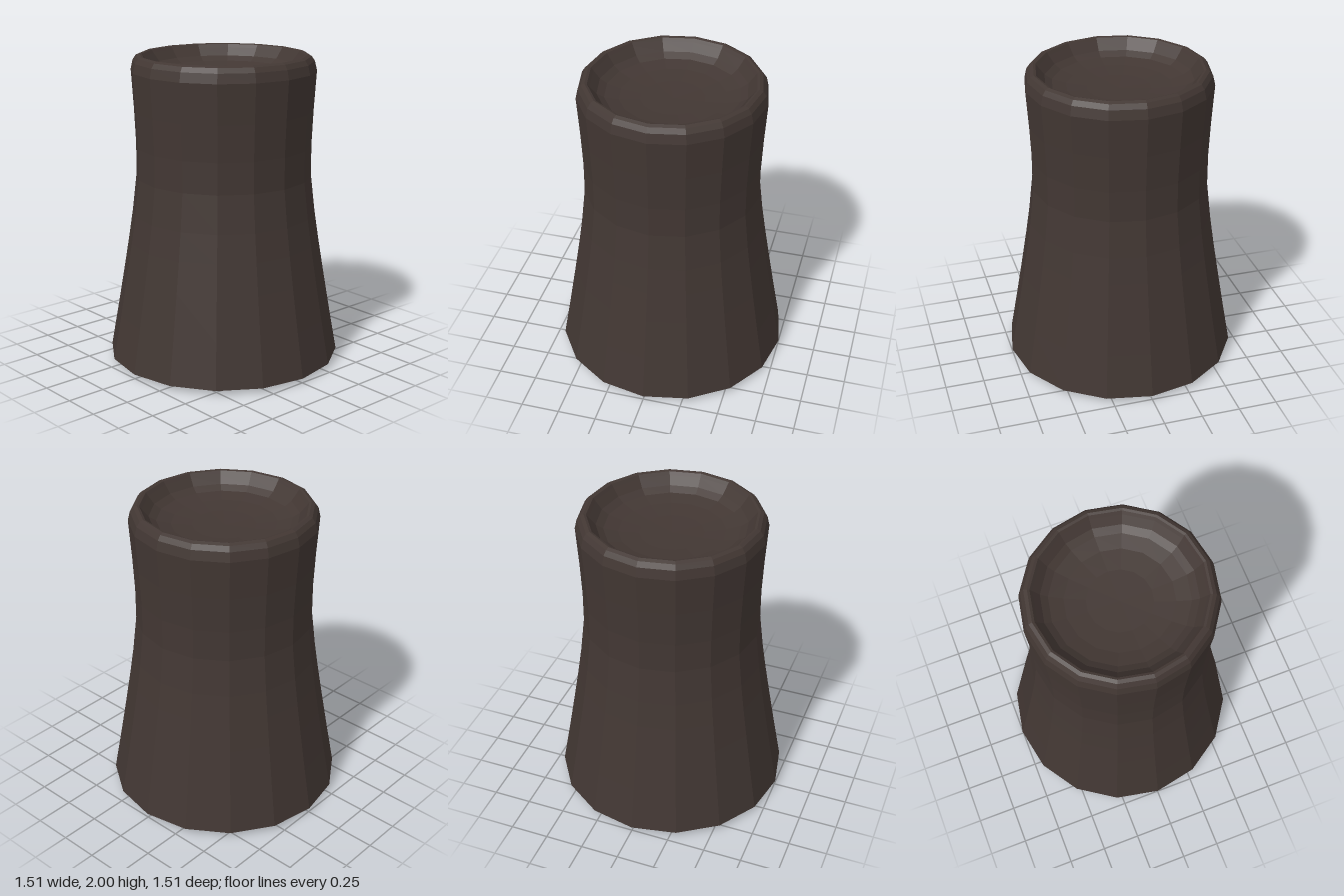
import * as THREE from 'three';

const SIDES = 16;
const material = new THREE.MeshStandardMaterial({ color: 0x423733, flatShading: true });

// Revolve a list of [radius, height] pairs, ordered so that faces point outwards.
function turned(name, profile) {
  const points = profile.map(([r, y]) => new THREE.Vector2(r, y));
  const mesh = new THREE.Mesh(new THREE.LatheGeometry(points, SIDES), material);
  mesh.name = name;
  return mesh;
}

export function createModel() {
  const group = new THREE.Group();
  group.name = 'flaredTower';

  // Slightly domed underside
  group.add(turned('base', [[0, 0], [0.45, 0.004], [0.7, 0.012], [0.755, 0.03]]));

  // Wide foot narrowing to a waist, then opening a little towards the top
  group.add(turned('wall', [
    [0.755, 0.03], [0.703, 0.32], [0.655, 0.6], [0.622, 0.8], [0.595, 0.98],
    [0.567, 1.22], [0.566, 1.42], [0.576, 1.65], [0.592, 1.9],
  ]));

  // Rounded lip
  group.add(turned('rim', [
    [0.592, 1.9], [0.578, 1.96], [0.557, 1.99], [0.535, 2], [0.52, 1.995], [0.505, 1.975],
  ]));

  // Shallow dish closing the top
  group.add(turned('topDish', [
    [0.505, 1.975], [0.465, 1.925], [0.42, 1.897], [0.33, 1.875], [0.2, 1.862], [0, 1.857],
  ]));

  return group;
}
